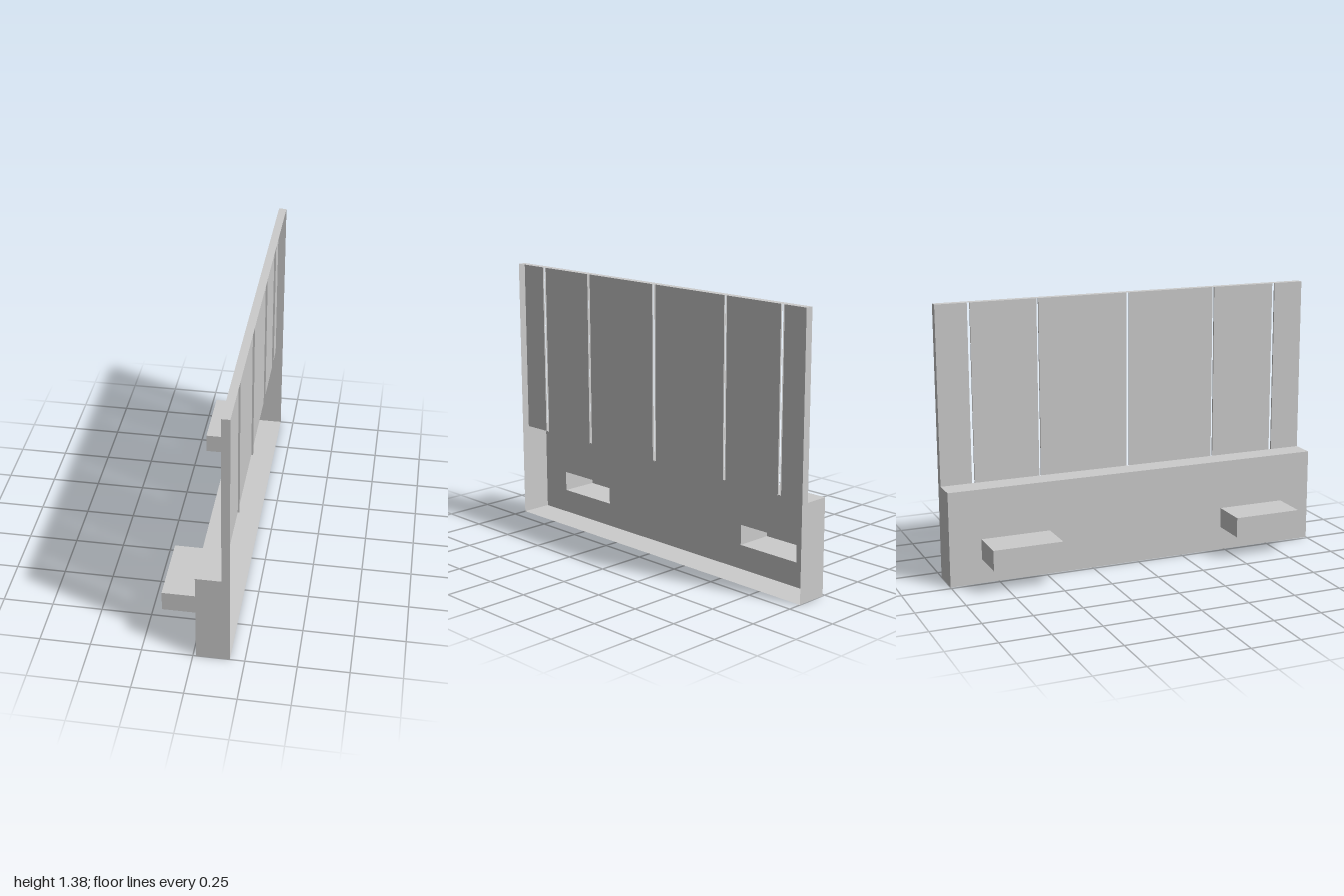
import * as THREE from 'three';

// Key positions: outer side, lower wall, upper panel, pad end
const X_OPEN = 0.178, X_WALL = 0.015, X_PANEL = 0.138, X_PAD = -0.178;
const LEDGE = 0.483, TOP = 1.385;
const PAD = { y0: 0.124, y1: 0.228, z0: 0.478, z1: 0.836 };

export function createModel() {
  const model = new THREE.Group();
  const mat = new THREE.MeshStandardMaterial({ color: 0xcccccc, flatShading: true, side: THREE.DoubleSide });
  const add = (name, geo, parent = model) => {
    const mesh = new THREE.Mesh(geo, mat);
    mesh.name = name;
    parent.add(mesh);
    return mesh;
  };

  // Thin sheets facing -x, up and along z
  const sheetX = (name, x, y0, y1, z0, z1, parent) =>
    add(name, new THREE.PlaneGeometry(z1 - z0, y1 - y0).rotateY(-Math.PI / 2)
      .translate(x, (y0 + y1) / 2, (z0 + z1) / 2), parent);
  const sheetY = (name, y, x0, x1, z0, z1, parent, dir = 1) =>
    add(name, new THREE.PlaneGeometry(x1 - x0, z1 - z0).rotateX(-dir * Math.PI / 2)
      .translate((x0 + x1) / 2, y, (z0 + z1) / 2), parent);
  const sheetZ = (name, z, x0, x1, y0, y1, parent, dir = 1) =>
    add(name, new THREE.PlaneGeometry(x1 - x0, y1 - y0).rotateY(dir > 0 ? 0 : Math.PI)
      .translate((x0 + x1) / 2, (y0 + y1) / 2, z), parent);

  // Stepped end caps
  const profile = new THREE.Shape([
    [X_WALL, 0], [X_OPEN, 0], [X_OPEN, TOP], [X_PANEL, TOP], [X_PANEL, LEDGE], [X_WALL, LEDGE],
  ].map(([x, y]) => new THREE.Vector2(x, y)));
  for (const s of [1, -1]) {
    const cap = new THREE.ShapeGeometry(profile);
    if (s < 0) cap.rotateY(Math.PI).scale(-1, 1, 1);
    // the mirrored cap needs its corner order restored
    if (s < 0) {
      const idx = cap.index.array;
      for (let i = 0; i < idx.length; i += 3) [idx[i], idx[i + 1]] = [idx[i + 1], idx[i]];
      cap.computeVertexNormals();
    }
    add('endCap', cap.translate(0, 0, s));
  }

  // Floor, ledge and top rim
  sheetY('floor', 0, X_WALL, X_OPEN, -1, 1, model, -1);
  sheetY('ledge', LEDGE, X_WALL, X_PANEL, -1, 1);
  sheetY('topRim', TOP, X_PANEL, X_OPEN, -1, 1);

  // Lower wall with openings into the hollow pads
  const rect = (T, u0, u1, v0, v1) => new T([
    new THREE.Vector2(u0, v0), new THREE.Vector2(u1, v0), new THREE.Vector2(u1, v1), new THREE.Vector2(u0, v1)]);
  const wall = rect(THREE.Shape, -1, 1, 0, LEDGE);
  for (const s of [1, -1]) {
    const a = Math.min(s * PAD.z0, s * PAD.z1), b = Math.max(s * PAD.z0, s * PAD.z1);
    wall.holes.push(rect(THREE.Path, a, b, PAD.y0, PAD.y1));

    const pad = new THREE.Group();
    pad.name = 'pad';
    model.add(pad);
    sheetY('padTop', PAD.y1, X_PAD, X_WALL, a, b, pad);
    sheetY('padBottom', PAD.y0, X_PAD, X_WALL, a, b, pad, -1);
    sheetZ('padSide', a, X_PAD, X_WALL, PAD.y0, PAD.y1, pad, -1);
    sheetZ('padSide', b, X_PAD, X_WALL, PAD.y0, PAD.y1, pad);
    sheetX('padEnd', X_PAD, PAD.y0, PAD.y1, a, b, pad);
  }
  add('lowerWall', new THREE.ShapeGeometry(wall).rotateY(-Math.PI / 2).translate(X_WALL, 0, 0));

  // Upper panels separated by narrow slits with shallow returns
  const slits = [[-0.832, 0.007], [-0.481, 0.005], [0, 0.007], [0.481, 0.005], [0.832, 0.007]];
  let start = -1;
  for (const [z, half] of [...slits, [1, 0]]) {
    sheetX('upperPanel', X_PANEL, LEDGE, TOP, start, z - half);
    if (half) {
      sheetZ('slitEdge', z - half, X_PANEL, X_PANEL + 0.008, LEDGE, TOP);
      sheetZ('slitEdge', z + half, X_PANEL, X_PANEL + 0.008, LEDGE, TOP, model, -1);
    }
    start = z + half;
  }
  return model;
}
